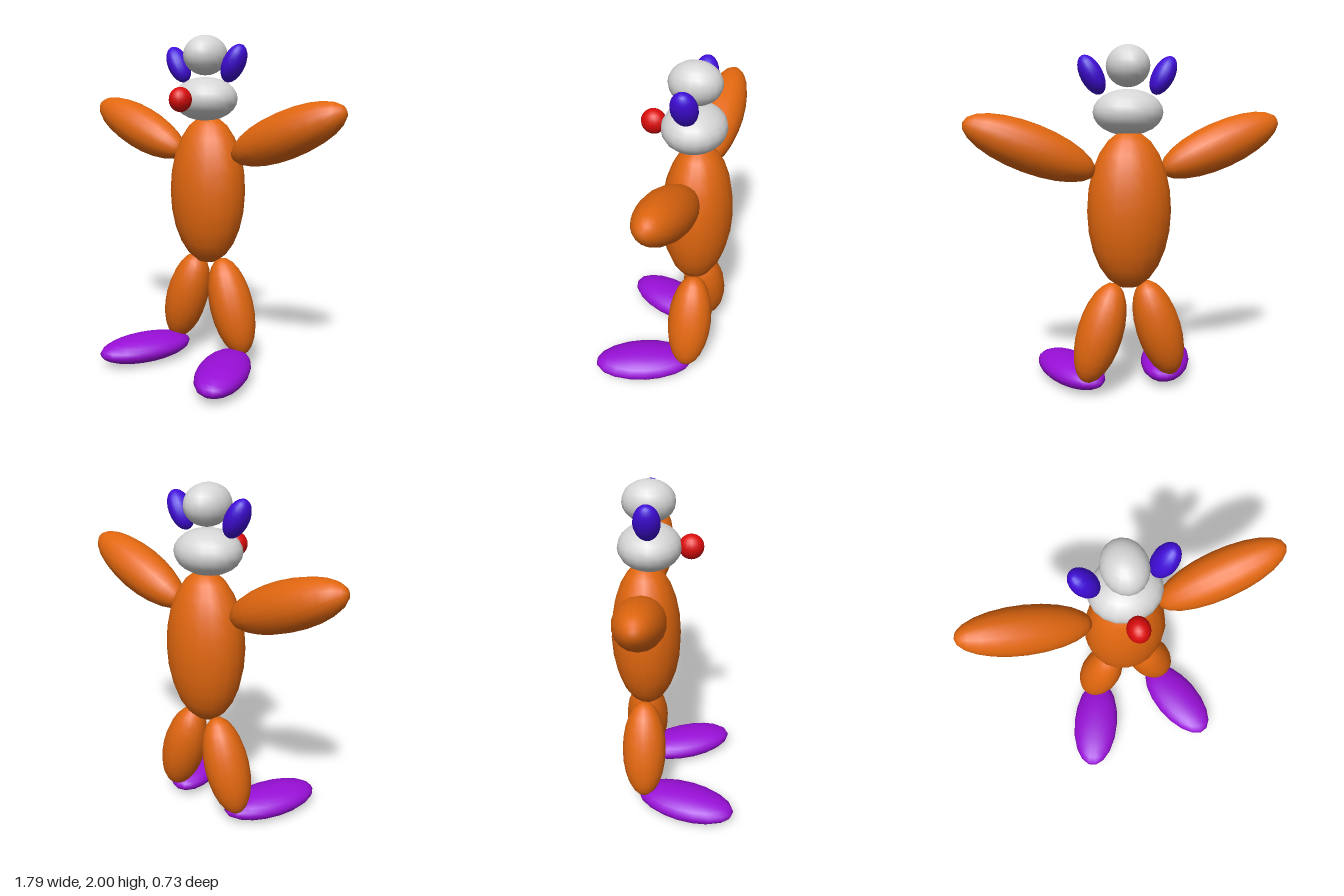
import * as THREE from 'three';

const paint = (name, color) => {
  const m = new THREE.MeshStandardMaterial({ color });
  m.name = name;
  return m;
};

export function createModel() {
  const model = new THREE.Group();
  model.name = 'figure';

  const orange = paint('orange', 0xe2670f);
  const white = paint('pale grey', 0xd6d6d6);
  const purple = paint('purple', 0x990fd8);
  const blue = paint('blue violet', 0x400cd8);
  const red = paint('red', 0xdc0b0b);

  // Every part is a stretched, softly shaded ball.
  const ball = new THREE.SphereGeometry(1, 18, 12);
  const blob = (name, material, position, radii, rotation = [0, 0, 0]) => {
    const mesh = new THREE.Mesh(ball, material);
    mesh.name = name;
    mesh.position.set(...position);
    mesh.scale.set(...radii);
    mesh.rotation.set(...rotation.map(THREE.MathUtils.degToRad));
    model.add(mesh);
  };

  // Body and head
  blob('body', orange, [0, 1.09, -0.163], [0.24, 0.45, 0.202]);
  blob('head', white, [0, 1.635, -0.135], [0.198, 0.127, 0.178]);
  blob('headTop', white, [0, 1.885, -0.135], [0.12, 0.115, 0.145]);
  blob('nose', red, [0, 1.635, 0.092], [0.062, 0.07, 0.07]);

  // Paired parts: s = 1 is the model's left
  for (const s of [1, -1]) {
    const side = s > 0 ? 'left' : 'right';
    blob(side + 'Ear', blue, [s * 0.203, 1.835, -0.135], [0.062, 0.115, 0.072], [0, 0, -s * 28]);
    blob(side + 'Arm', orange, [s * 0.542, 1.447, -0.155], [0.134, 0.378, 0.134], [0, 0, -s * 68]);
    blob(side + 'Leg', orange, [s * 0.175, 0.39, -0.18], [0.132, 0.302, 0.132], [0, 0, s * 17]);
    blob(side + 'Foot', purple, [s * 0.302, 0.087, 0.075], [0.15, 0.083, 0.306], [0, s * 21, 0]);
  }
  return model;
}
